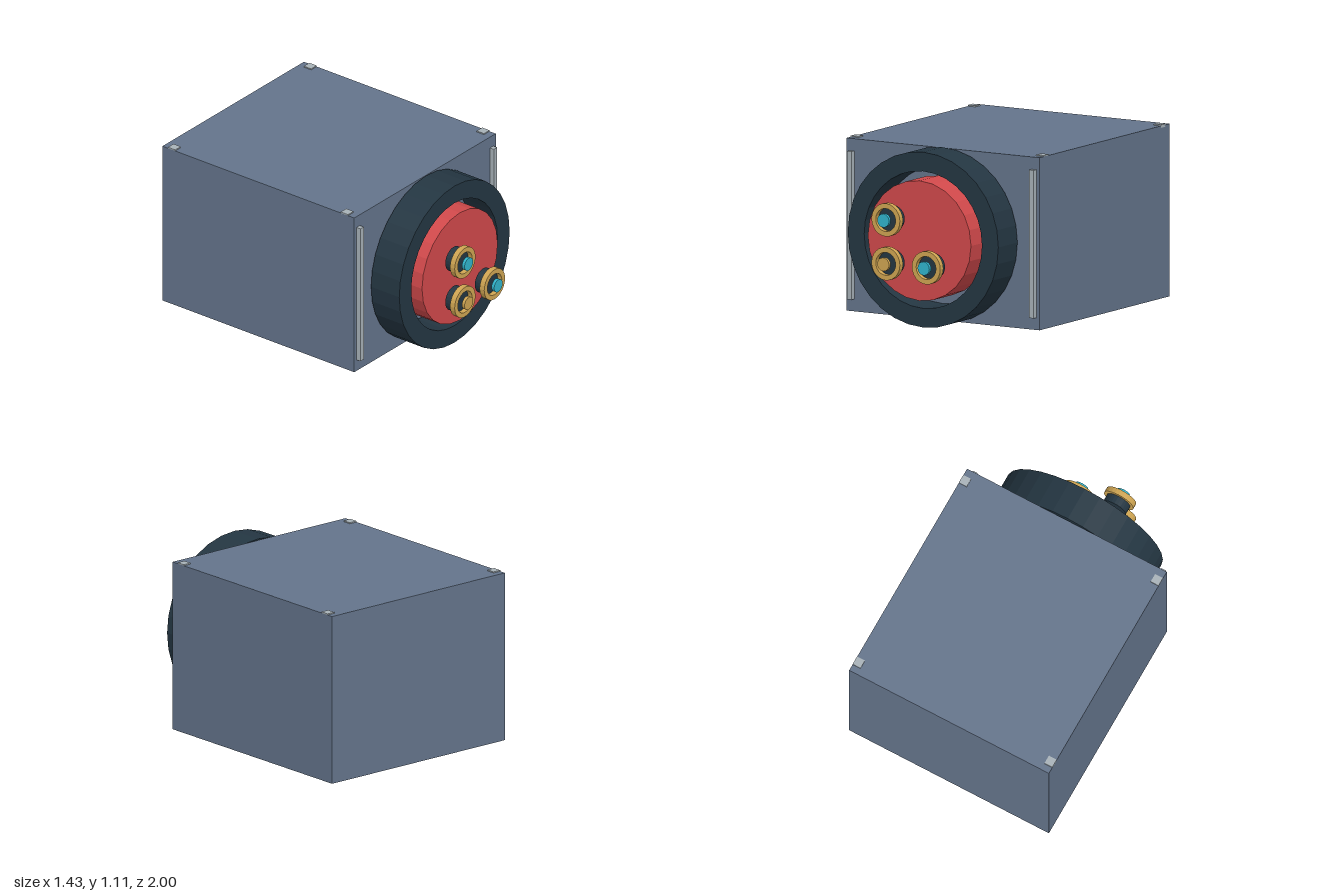
import * as THREE from 'three';

const material = (name, color) => {
  const m = new THREE.MeshStandardMaterial({ color });
  m.name = name;
  return m;
};

export function createModel() {
  const model = new THREE.Group();
  const blue = material('slate blue', 0x64748b);
  const dark = material('dark navy', 0x243642);
  const red = material('red', 0xd1494b);
  const gold = material('gold', 0xcfa552);
  const cyan = material('cyan', 0x30b4cc);
  const grey = material('light grey', 0xa8b2b8);

  const add = (parent, name, geometry, mat, x, y, z) => {
    const mesh = new THREE.Mesh(geometry, mat);
    mesh.name = name;
    mesh.position.set(x, y, z);
    parent.add(mesh);
    return mesh;
  };

  // Faceted solids whose axis runs along z, from z0 to z1
  const faceted = (g) => {
    const flat = g.rotateX(Math.PI / 2).toNonIndexed();
    flat.computeVertexNormals();
    return flat;
  };
  const disc = (r, z0, z1, sides) =>
    faceted(new THREE.CylinderGeometry(r, r, z1 - z0, sides)).translate(0, 0, (z0 + z1) / 2);
  const ring = (ri, ro, z0, z1, sides) => {
    const profile = [[ri, z0], [ro, z0], [ro, z1], [ri, z1], [ri, z0]];
    return faceted(new THREE.LatheGeometry(profile.map(([r, z]) => new THREE.Vector2(r, z)), sides));
  };

  // Main housing
  add(model, 'housing', new THREE.BoxGeometry(1.426, 1.095, 1.532), blue, 0, 0.56, -0.234);

  // Front strips and top corner pads, mirrored left and right
  for (const side of [-1, 1]) {
    add(model, 'frontStrip', new THREE.BoxGeometry(0.034, 0.94, 0.031), grey, side * 0.672, 0.56, 0.547);
    for (const z of [-0.927, 0.453]) {
      add(model, 'cornerPad', new THREE.BoxGeometry(0.056, 0.02, 0.058), grey, side * 0.685, 1.105, z);
    }
  }

  // Round front: outer collar and inner face disc
  add(model, 'collar', ring(0.435, 0.556, 0.542, 0.767, 32), dark, 0, 0.557, 0);
  add(model, 'faceDisc', disc(0.381, 0.58, 0.81, 24), red, 0, 0.557, 0);

  // Three connectors standing in front of the disc
  const connectors = [[-0.149, 0.698, cyan], [-0.149, 0.42, gold], [0.149, 0.42, cyan]];
  for (const [x, y, capMaterial] of connectors) {
    const connector = new THREE.Group();
    connector.name = 'connector';
    connector.position.set(x, y, 0);
    add(connector, 'barrel', disc(0.082, 0.877, 0.936, 24), dark, 0, 0, 0);
    add(connector, 'rim', ring(0.073, 0.105, 0.933, 0.97, 24), gold, 0, 0, 0);
    add(connector, 'cap', disc(0.043, 0.979, 1.0, 24), capMaterial, 0, 0, 0);
    model.add(connector);
  }

  return model;
}
